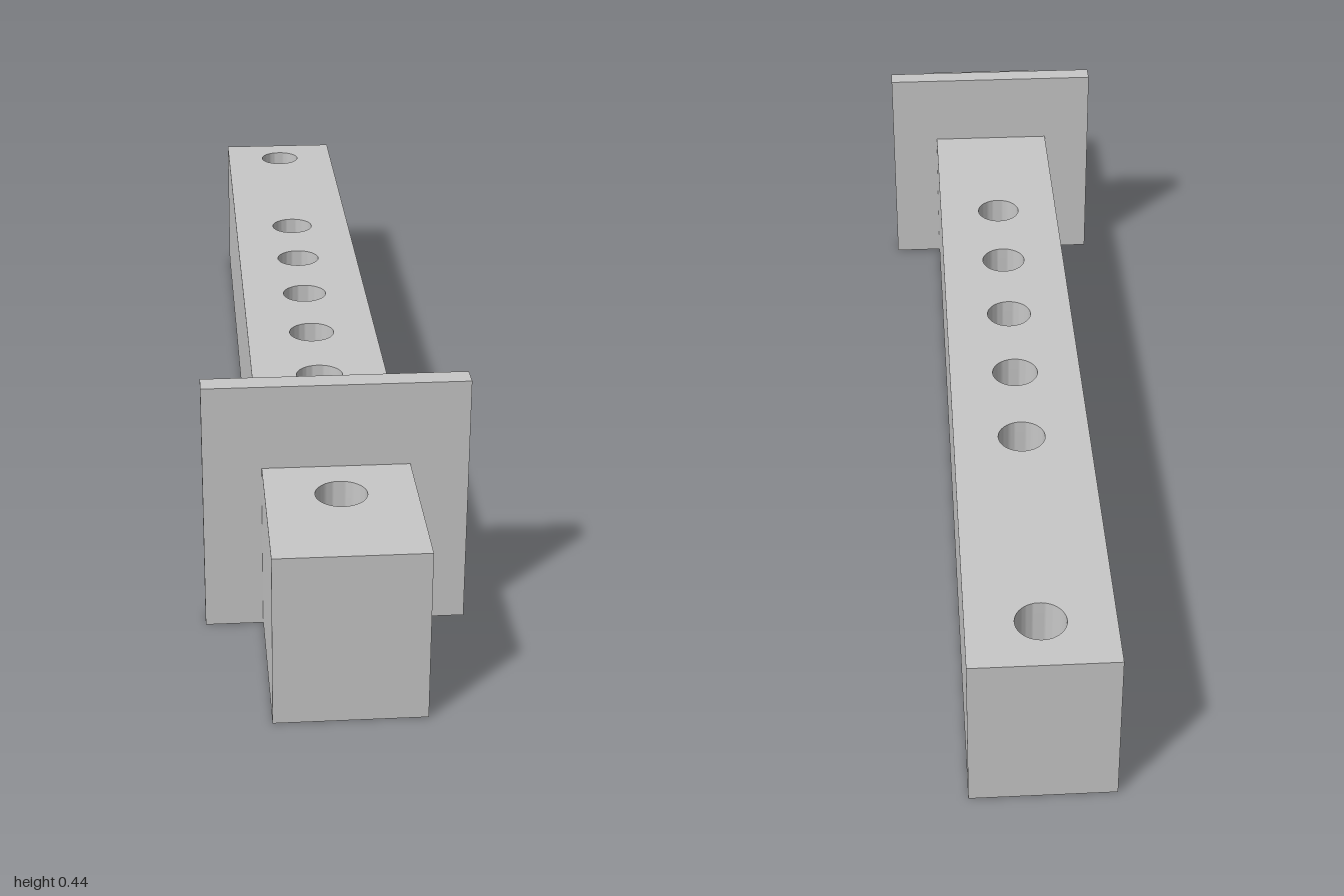
import * as THREE from 'three';
import { toCreasedNormals } from 'three/addons/utils/BufferGeometryUtils.js';

const HALF_WIDTH = 0.122, HEIGHT = 0.293;
const HOLE_RADIUS = 0.042;
const HOLES_Z = [-0.902, -0.428, -0.233, -0.038, 0.157, 0.352, 0.804];

const polygon = (points) => new THREE.Shape(points.map(([x, y]) => new THREE.Vector2(x, y)));

export function createModel() {
  const steel = new THREE.MeshStandardMaterial({ color: 0xc8c8c8 });
  steel.name = 'light grey steel';
  const model = new THREE.Group();
  model.name = 'drilledBarWithFlange';

  // Square bar drilled through from top to bottom
  const plan = polygon([[-HALF_WIDTH, -1], [HALF_WIDTH, -1], [HALF_WIDTH, 1], [-HALF_WIDTH, 1]]);
  for (const z of HOLES_Z) {
    const hole = new THREE.Path();
    hole.absarc(0, -z, HOLE_RADIUS, 0, Math.PI * 2, true);
    plan.holes.push(hole);
  }
  const barGeometry = new THREE.ExtrudeGeometry(plan, {
    depth: HEIGHT, bevelEnabled: false, curveSegments: 32,
  });
  barGeometry.rotateX(-Math.PI / 2);
  const bar = new THREE.Mesh(toCreasedNormals(barGeometry, 0.6), steel);
  bar.name = 'drilledBar';
  model.add(bar);

  // Square stop plate, notched to sit over the bar and flush with its underside
  const half = 0.219, top = 0.439;
  const plate = polygon([
    [-half, 0], [-HALF_WIDTH, 0], [-HALF_WIDTH, HEIGHT], [HALF_WIDTH, HEIGHT],
    [HALF_WIDTH, 0], [half, 0], [half, top], [-half, top],
  ]);
  const flange = new THREE.Mesh(
    new THREE.ExtrudeGeometry(plate, { depth: 0.038, bevelEnabled: false }), steel);
  flange.position.z = 0.671;
  flange.name = 'stopPlate';
  model.add(flange);

  return model;
}
